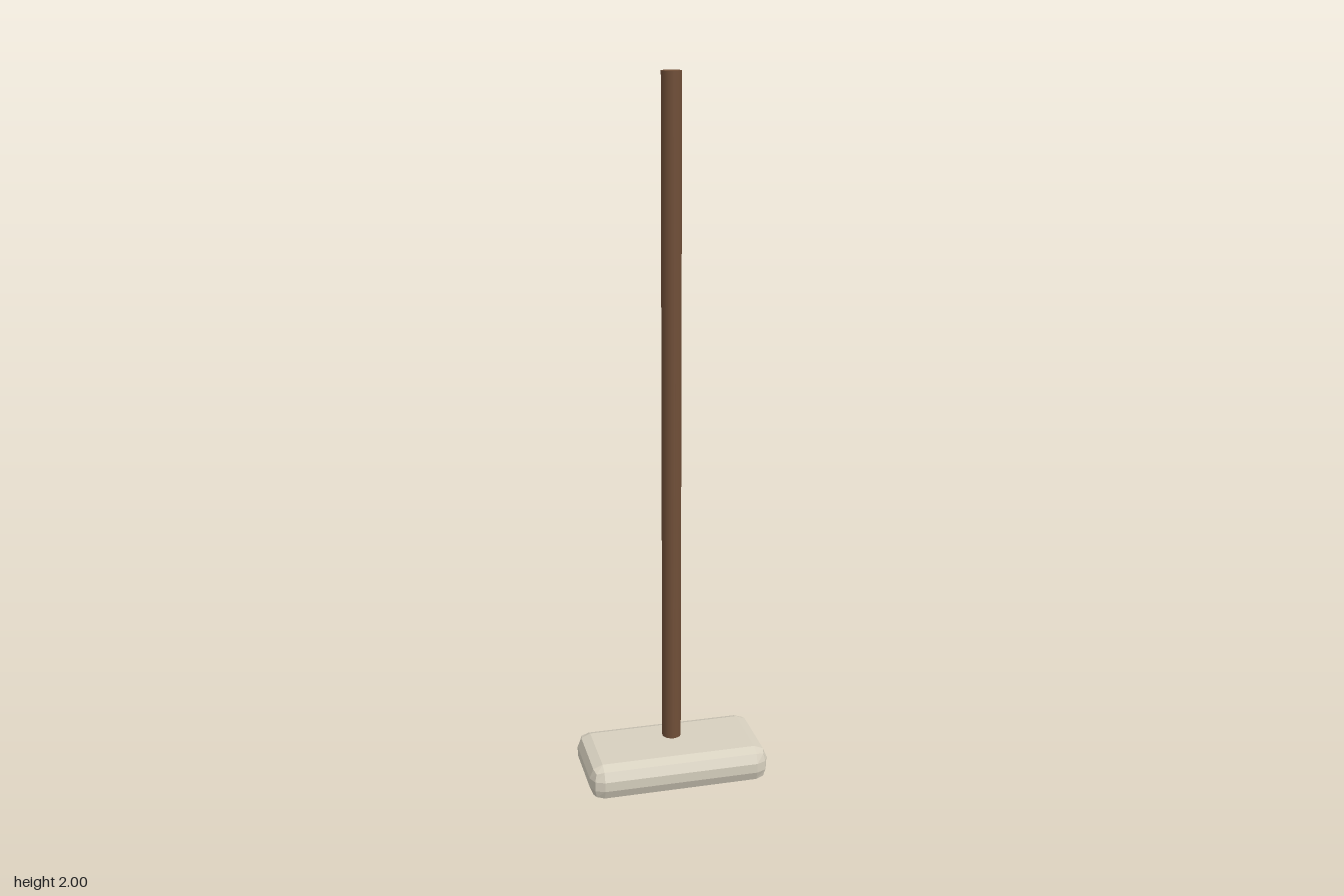
import * as THREE from 'three';
import { RoundedBoxGeometry } from 'three/addons/geometries/RoundedBoxGeometry.js';

export function createModel() {
  const model = new THREE.Group();

  const add = (name, geometry, y, material) => {
    const mesh = new THREE.Mesh(geometry, material);
    mesh.name = name;
    mesh.position.y = y;
    model.add(mesh);
  };

  // Block head with faceted, rounded edges
  const headHeight = 0.104;
  add('head', new RoundedBoxGeometry(0.522, headHeight, 0.261, 1, 0.038), headHeight / 2,
    new THREE.MeshStandardMaterial({ color: 0xd6cfbe, flatShading: true }));

  // Long round handle, floating just above the head
  const handleBottom = 0.123, handleTop = 2;
  add('handle', new THREE.CylinderGeometry(0.027, 0.027, handleTop - handleBottom, 24),
    (handleBottom + handleTop) / 2, new THREE.MeshStandardMaterial({ color: 0x6f4e37 }));

  return model;
}
